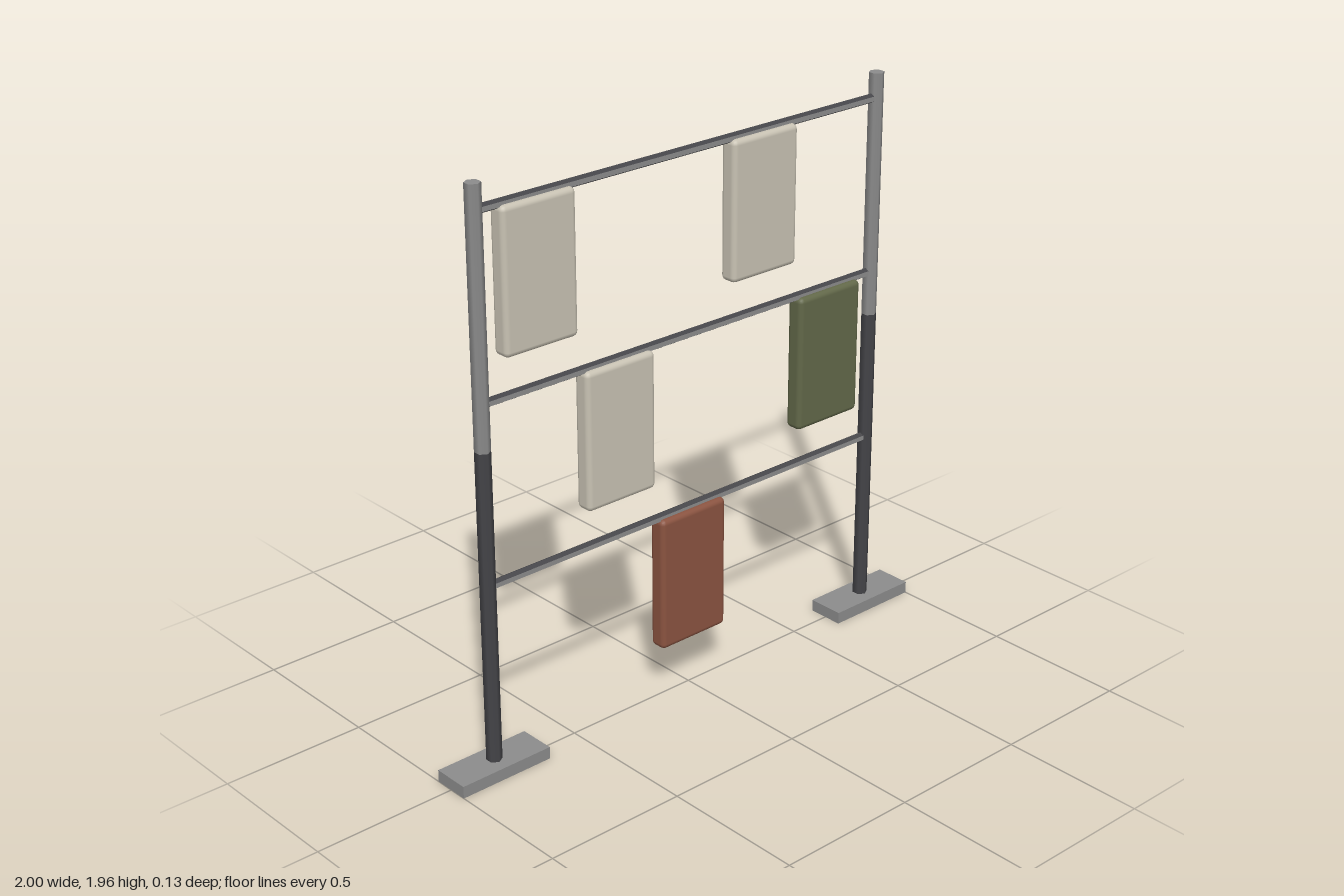
import * as THREE from 'three';
import { RoundedBoxGeometry } from 'three/addons/geometries/RoundedBoxGeometry.js';

function material(name, color) {
  const m = new THREE.MeshStandardMaterial({ color });
  m.name = name;
  return m;
}

export function createModel() {
  const group = new THREE.Group();
  const grey = material('light steel', 0x8c8c8c);
  const dark = material('dark steel', 0x454549);
  const cream = material('cream', 0xc8c2b3);
  const green = material('olive green', 0x626849);
  const rust = material('rust', 0x8a5340);

  function add(name, geometry, mat, x, y, z = 0) {
    const mesh = new THREE.Mesh(geometry, mat);
    mesh.name = name;
    mesh.position.set(x, y, z);
    group.add(mesh);
    return mesh;
  }

  // Feet and two-tone hexagonal posts, mirrored
  const split = 1.115, top = 1.96, bottom = 0.002;
  for (const [side, s] of [['left', 1], ['right', -1]]) {
    add(side + 'Foot', new THREE.BoxGeometry(0.345, 0.042, 0.13), grey, s * 0.8275, 0.021);
    add(side + 'LowerPost', new THREE.CylinderGeometry(0.026, 0.026, split - bottom, 6),
      dark, s * 0.8275, (split + bottom) / 2);
    add(side + 'UpperPost', new THREE.CylinderGeometry(0.026, 0.026, top - split, 6),
      grey, s * 0.8275, (top + split) / 2);
  }

  // Hexagonal rails: light front and back faces, dark sloping faces
  const railGeometry = new THREE.CylinderGeometry(0.016, 0.016, 1.655, 6, 1, true, Math.PI / 6).toNonIndexed();
  railGeometry.computeVertexNormals();
  railGeometry.clearGroups();
  for (let i = 0; i < 6; i++) railGeometry.addGroup(i * 6, 6, i % 3 === 2 ? 0 : 1);
  railGeometry.rotateZ(Math.PI / 2);
  const rows = [1.875, 1.267, 0.658];
  rows.forEach((y, i) => add('rail' + (i + 1), railGeometry, [grey, dark], 0, y));

  // Hanging panels with softened edges
  const panelGeometry = new RoundedBoxGeometry(0.28, 0.475, 0.064, 2, 0.018);
  const panels = [
    ['creamPanel', cream, -0.61, 0],
    ['creamPanel', cream, 0.305, 0],
    ['creamPanel', cream, -0.305, 1],
    ['greenPanel', green, 0.61, 1],
    ['rustPanel', rust, 0, 2],
  ];
  for (const [name, mat, x, row] of panels) {
    add(name, panelGeometry, mat, x, rows[row] - 0.24);
  }

  return group;
}
